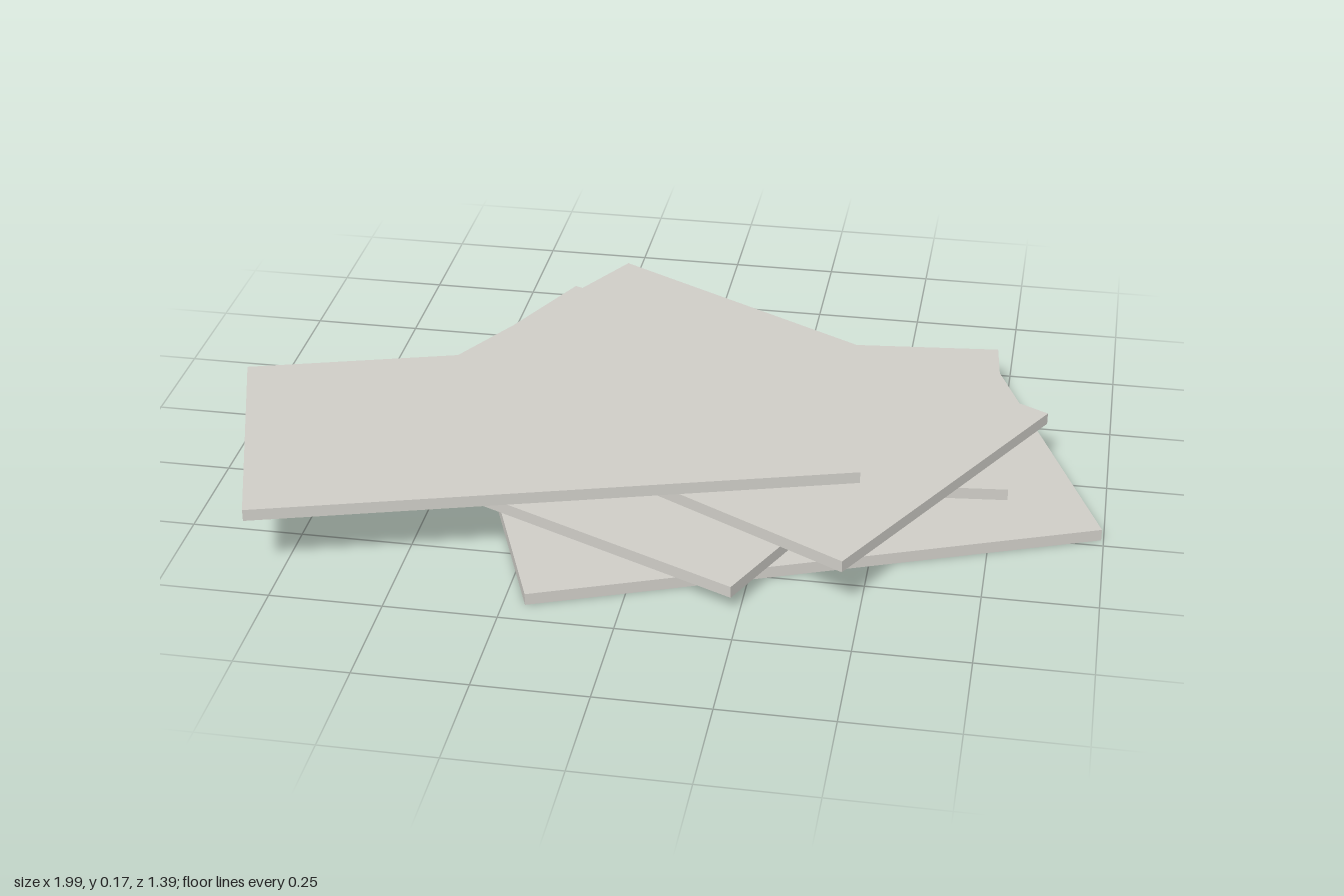
import * as THREE from 'three';

// Loose stack of thin slabs, each turned differently and separated by a small gap
export function createModel() {
  const group = new THREE.Group();
  group.name = 'slabStack';
  const stone = new THREE.MeshStandardMaterial({ color: 0xcfcdc7 });
  stone.name = 'pale grey';

  const thickness = 0.027;
  const pitch = 0.0353;
  // bottom to top: length, width, centre x, centre z, turn about y
  const slabs = [
    [1.285, 0.854, 0.241, 0.0625, 0.372],
    [1.102, 0.957, -0.07, -0.018, -0.43],
    [1.184, 0.66, 0.162, -0.0625, 0.098],
    [1.247, 0.808, 0.1125, -0.038, -0.507],
    [1.335, 0.647, -0.2675, 0.187, 0.2886],
  ];
  slabs.forEach(([length, width, x, z, turn], i) => {
    const slab = new THREE.Mesh(new THREE.BoxGeometry(length, thickness, width), stone);
    slab.name = `slab${i + 1}`;
    slab.position.set(x, thickness / 2 + i * pitch, z);
    slab.rotation.y = turn;
    group.add(slab);
  });
  return group;
}
